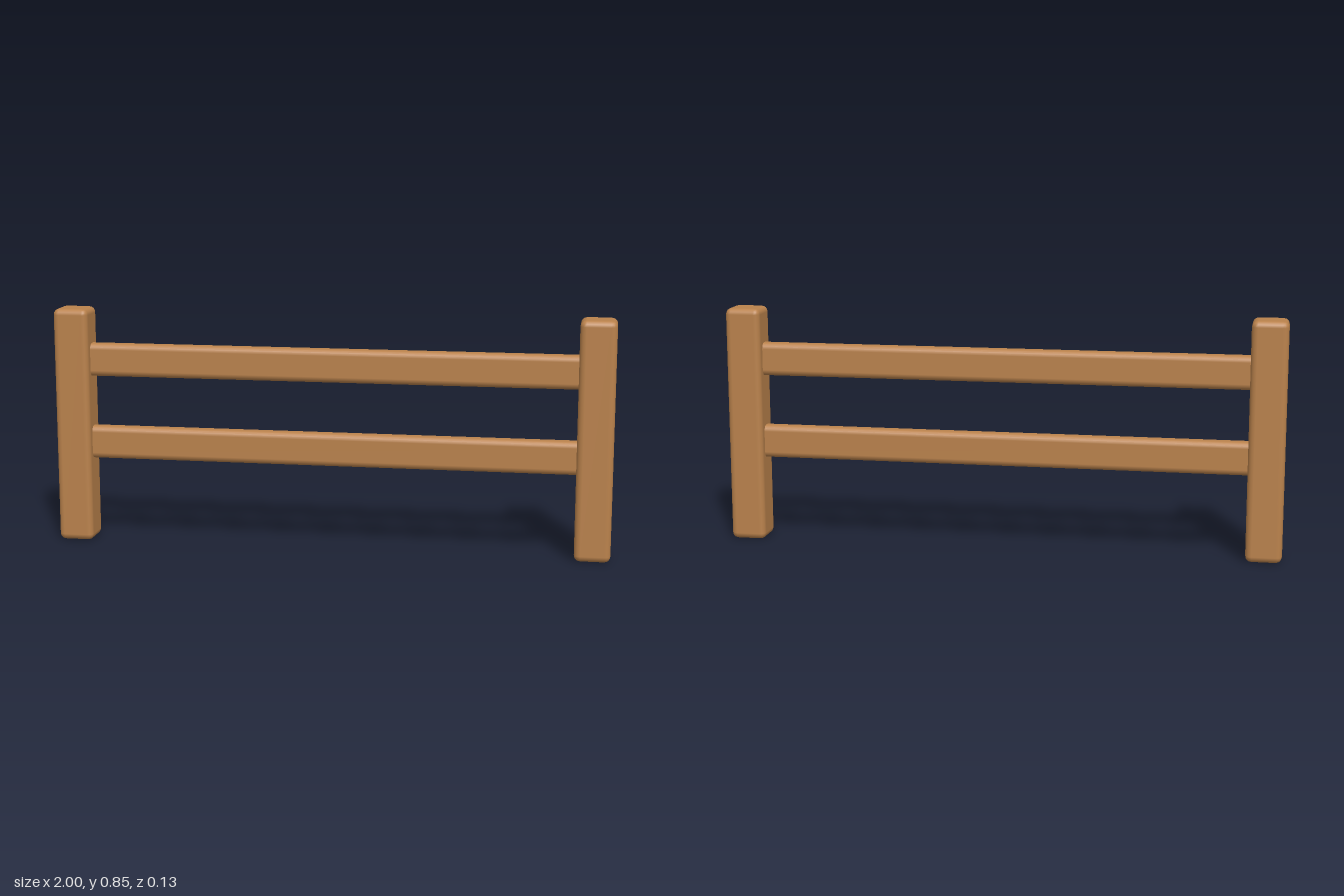
import * as THREE from 'three';
import { RoundedBoxGeometry } from 'three/addons/geometries/RoundedBoxGeometry.js';

export function createModel() {
  const fence = new THREE.Group();
  fence.name = 'fence';
  const wood = new THREE.MeshStandardMaterial({ color: 0xba824c });
  wood.name = 'warm wood';

  const addBeam = (name, [w, h, d], radius, x, y) => {
    const beam = new THREE.Mesh(new RoundedBoxGeometry(w, h, d, 2, radius), wood);
    beam.name = name;
    beam.position.set(x, y, 0);
    fence.add(beam);
  };

  // Upright posts, mirrored left and right
  for (const [name, side] of [['leftPost', 1], ['rightPost', -1]]) {
    addBeam(name, [0.127, 0.852, 0.127], 0.022, side * 0.9365, 0.426);
  }

  // Horizontal rails, their ends set into the posts
  addBeam('upperRail', [1.83, 0.12, 0.06], 0.022, 0, 0.665);
  addBeam('lowerRail', [1.83, 0.12, 0.06], 0.022, 0, 0.362);

  return fence;
}
